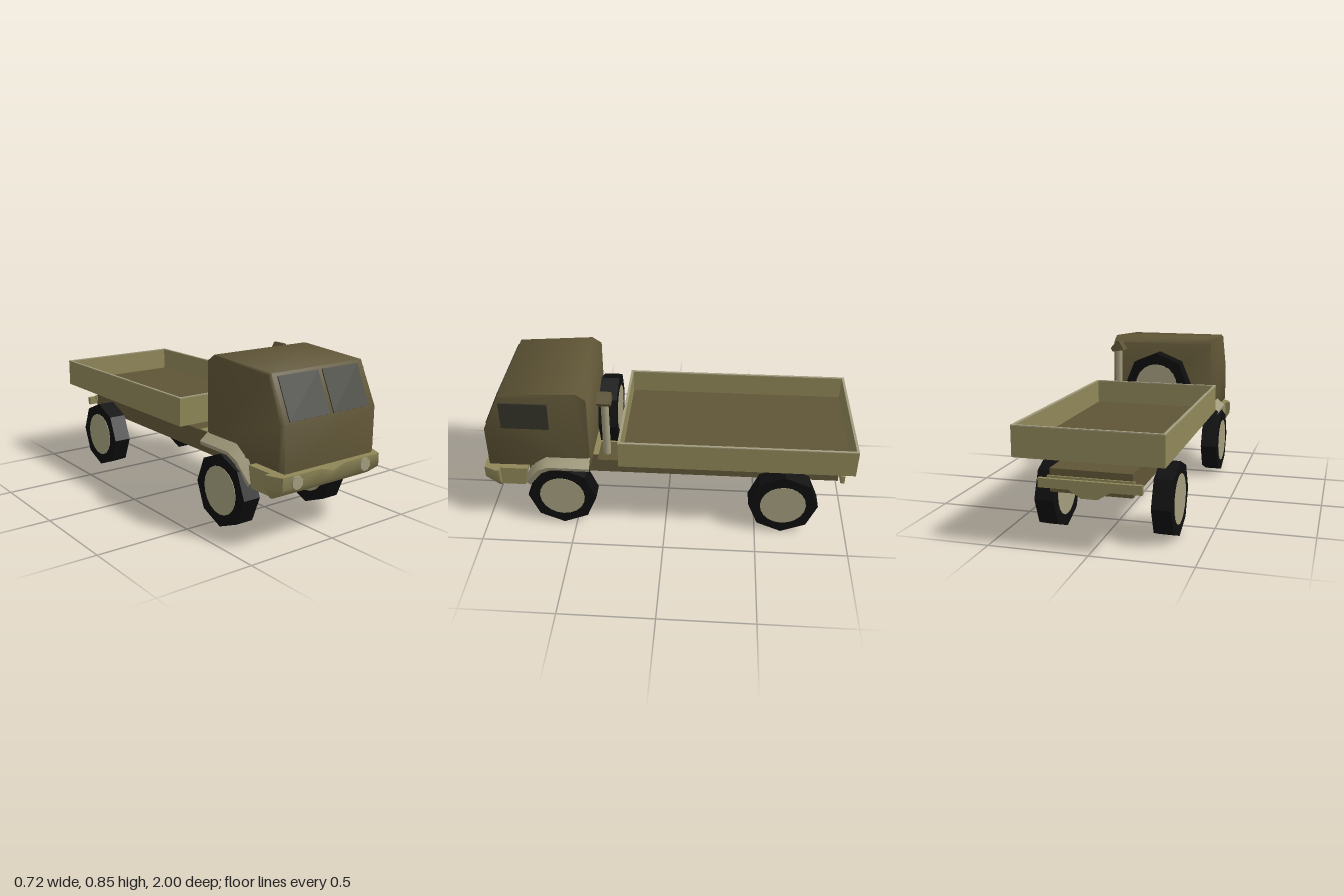
import * as THREE from 'three';
import { toCreasedNormals } from 'three/addons/utils/BufferGeometryUtils.js';

const mat = (name, color, side = THREE.FrontSide) => {
  const m = new THREE.MeshStandardMaterial({ color, side });
  m.name = name;
  return m;
};

// Skins cross-sections (equal-length lists of [x, y, z]) ordered along +x and caps both ends.
function loft(sections, crease) {
  const n = sections[0].length, last = (sections.length - 1) * n, idx = [];
  for (let i = 0; i < sections.length - 1; i++) {
    for (let j = 0; j < n; j++) {
      const a = i * n + j, b = i * n + (j + 1) % n, d = a + n, c = b + n;
      idx.push(a, d, c, a, c, b);
    }
  }
  for (let j = 1; j < n - 1; j++) {
    idx.push(0, j, j + 1, last, last + j + 1, last + j);
  }
  const g = new THREE.BufferGeometry();
  g.setAttribute('position', new THREE.Float32BufferAttribute(sections.flat(2), 3));
  g.setIndex(idx);
  return toCreasedNormals(g, crease);
}

export function createModel() {
  const olive = mat('olive', 0x5f5536);
  const khaki = mat('khaki', 0x8f8758);
  const cream = mat('cream', 0xa39d7e, THREE.DoubleSide);
  const black = mat('tyre black', 0x0e0e0e);
  const glass = mat('dark glass', 0x34342a);

  const truck = new THREE.Group();
  truck.name = 'truck';
  const add = (name, geo, material, x = 0, y = 0, z = 0, parent = truck) => {
    const m = new THREE.Mesh(geo, material);
    m.name = name;
    m.position.set(x, y, z);
    parent.add(m);
    return m;
  };
  // Box given by its low and high corners
  const box = (name, material, [x0, y0, z0], [x1, y1, z1]) =>
    add(name, new THREE.BoxGeometry(x1 - x0, y1 - y0, z1 - z0), material,
      (x0 + x1) / 2, (y0 + y1) / 2, (z0 + z1) / 2);

  // Chassis
  box('chassis', olive, [-0.2, 0.275, -0.945], [0.2, 0.388, 0.77]);
  box('chassisDeck', khaki, [-0.2, 0.388, 0.2], [0.2, 0.394, 0.42]);

  // Cargo bed: floor, four walls and pale top rails
  box('bedFloor', olive, [-0.35, 0.445, -0.99], [0.35, 0.465, 0.235]);
  const t = 0.013, W = 0.362, zb = -1, zf = 0.245;
  const walls = [
    [-W, zb, -W + t, zf], [W - t, zb, W, zf],
    [-W + t, zb, W - t, zb + t], [-W + t, zf - t, W - t, zf],
  ];
  for (const [x0, z0, x1, z1] of walls) {
    box('bedWall', khaki, [x0, 0.443, z0], [x1, 0.59, z1]);
    box('bedRail', cream, [x0, 0.59, z0], [x1, 0.595, z1]);
  }

  // Cab: side profile as [z, y], with bevelled outer sections
  const profile = [[0.405, 0.385], [0.965, 0.37], [0.965, 0.6], [0.865, 0.82], [0.455, 0.845], [0.405, 0.81]];
  const inner = s => profile.map(([z, y]) => [s * (0.3 - 0.015 * (z - 0.405) / 0.56), y, z]);
  const outer = s => profile.map(([z, y]) =>
    [s * (y > 0.7 ? 0.3 : 0.306), 0.6 + (y - 0.6) * 0.95, 0.685 + (z - 0.685) * 0.95]);
  add('cab', loft([outer(-1), inner(-1), inner(1), outer(1)], 1.2), olive);

  // Windscreen panes lie on the sloping front; one side window
  const lean = -Math.atan2(0.1, 0.22);
  for (const [x0, x1] of [[-0.26, -0.01], [0.015, 0.25]]) {
    const pane = add('windscreen', new THREE.BoxGeometry(x1 - x0, 0.214, 0.008), glass, (x0 + x1) / 2, 0.708, 0.917);
    pane.rotation.x = lean;
  }
  box('sideWindow', glass, [0.3, 0.625, 0.61], [0.308, 0.78, 0.865]);

  // Front bumper with a centre notch and tapering ends
  const bumper = [
    [-0.345, 0.365, 0.295, 0.918], [-0.315, 0.365, 0.247, 0.988], [-0.08, 0.365, 0.247, 0.99],
    [0, 0.342, 0.247, 0.99], [0.08, 0.365, 0.247, 0.99], [0.315, 0.365, 0.247, 0.988], [0.345, 0.365, 0.295, 0.918],
  ].map(([x, top, low, z]) =>
    [[x, low, 0.9], [x, low, z - (z > 0.95 ? 0.07 : 0.008)], [x, Math.max(0.3, low + 0.01), z], [x, top, z], [x, top, 0.9]]);
  add('frontBumper', loft(bumper, 1.0), khaki);
  for (const s of [-1, 1]) {
    const ends = [0.27, 0.318].map(x => [[s * x, 0.255, 0.77], [s * x, 0.255, 0.91],
      [s * x, 0.365, 0.91], [s * x, 0.365, 0.75]]);
    add('bumperReturn', loft(s > 0 ? ends : ends.reverse(), 0.5), khaki);
  }
  for (const x of [-0.233, 0.21]) {
    const lamp = new THREE.CylinderGeometry(0.034, 0.034, 0.02, 8).rotateY(Math.PI / 8).rotateX(Math.PI / 2);
    add('headlight', lamp, cream, x, 0.33, 0.99);
  }

  // Rear bumper with a centre dip
  const rear = [[-0.25, 0.3], [-0.1, 0.3], [-0.04, 0.262], [0.04, 0.262], [0.1, 0.3], [0.25, 0.3]]
    .map(([x, low]) => [[x, low, -0.972], [x, low, -0.95], [x, 0.345, -0.95], [x, 0.345, -0.972]]);
  add('rearBumper', loft(rear, 0.4), khaki);
  box('rearBumperMount', khaki, [-0.21, 0.32, -0.955], [0.21, 0.355, -0.94]);

  // Front fenders: a strip from the cab side out over the wheel
  const path = [[0.405, 0.45], [0.645, 0.45], [0.71, 0.405], [0.755, 0.32], [0.775, 0.27]];
  const fender = s => {
    const pos = [], idx = [];
    path.forEach(([z, y], i) => {
      const out = [0.352, 0.352, 0.345, 0.33, 0.32][i];
      const drop = [0.045, 0.045, 0.03, 0.015, 0][i], back = [0, 0.03, 0.04, 0.035, 0.03][i];
      pos.push(s * 0.295, y, z, s * out, y - drop, z - back / 2, s * (out - 0.005), y - drop - 0.02, z - back);
      if (i) {
        for (const k of [0, 1]) {
          const a = (i - 1) * 3 + k, b = a + 3;
          idx.push(...(s > 0 ? [a, b, b + 1, a, b + 1, a + 1] : [a, b + 1, b, a, a + 1, b + 1]));
        }
      }
    });
    const g = new THREE.BufferGeometry();
    g.setAttribute('position', new THREE.Float32BufferAttribute(pos, 3));
    g.setIndex(idx);
    return toCreasedNormals(g, 0.8);
  };
  add('leftFender', fender(1), cream);
  add('rightFender', fender(-1), cream);

  // Wheels: eight-sided tyres with round rims, axle along x
  const tyreGeo = toCreasedNormals(new THREE.CylinderGeometry(0.19, 0.19, 0.097, 8).rotateZ(Math.PI / 2), 0.5);
  const rimGeo = new THREE.CylinderGeometry(0.125, 0.125, 0.102, 20).rotateZ(Math.PI / 2);
  const wheel = (name, x, y, z) => {
    const g = new THREE.Group();
    g.name = name;
    g.position.set(x, y, z);
    add('tyre', tyreGeo, black, 0, 0, 0, g);
    add('rim', rimGeo, cream, 0, 0, 0, g);
    truck.add(g);
    return g;
  };
  for (const x of [-0.302, 0.279]) {
    wheel('frontWheel', x, 0.19, 0.57);
    wheel('rearWheel', x, 0.19, -0.645);
  }
  wheel('spareWheel', 0, 0.575, 0.318).rotation.y = Math.PI / 2;

  // Exhaust stack on its bracket, with a slanted cap
  box('exhaustBracket', olive, [0.15, 0.436, 0.25], [0.312, 0.444, 0.362]);
  add('exhaustPipe', new THREE.CylinderGeometry(0.021, 0.021, 0.34, 10), cream, 0.245, 0.61, 0.318);
  const cap = new THREE.Shape([[0.205, 0.775], [0.275, 0.765], [0.285, 0.785], [0.25, 0.83], [0.235, 0.83]]
    .map(p => new THREE.Vector2(...p)));
  add('exhaustCap', new THREE.ExtrudeGeometry(cap, { depth: 0.074, bevelEnabled: false }), olive, 0, 0, 0.281);

  return truck;
}
